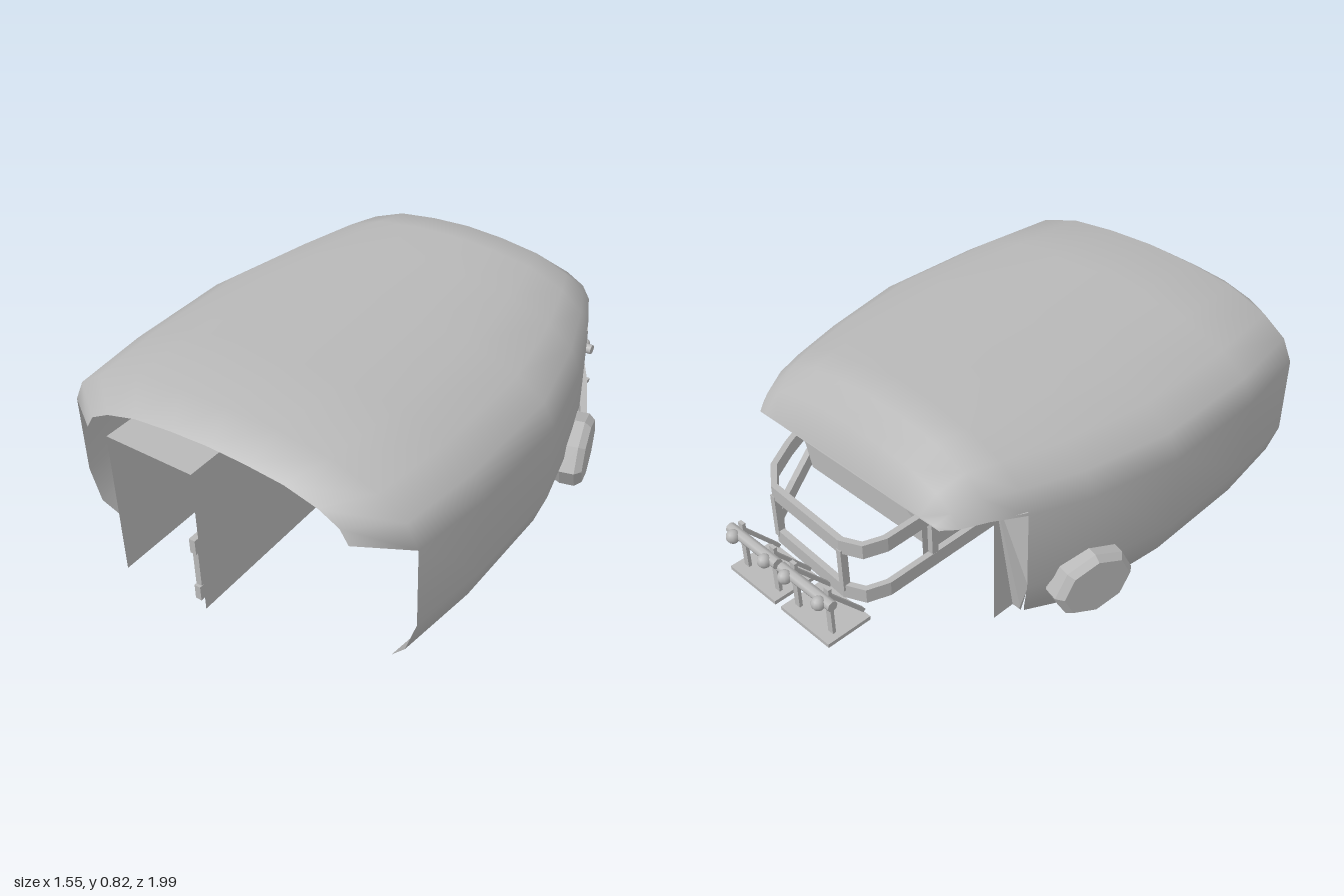
import * as THREE from 'three';

const gray = new THREE.MeshStandardMaterial({ color: 0xb8b8b8, side: THREE.DoubleSide });
gray.name = 'plain gray';

const add = (parent, name, geometry, x = 0, y = 0, z = 0) => {
  const mesh = new THREE.Mesh(geometry, gray);
  mesh.name = name;
  mesh.position.set(x, y, z);
  parent.add(mesh);
  return mesh;
};

const faceted = (geometry) => {
  const g = geometry.index ? geometry.toNonIndexed() : geometry;
  g.computeVertexNormals();
  return g;
};

const gridGeometry = (positions, index) => {
  const g = new THREE.BufferGeometry();
  g.setAttribute('position', new THREE.Float32BufferAttribute(positions, 3));
  g.setIndex(index);
  return g;
};

// Smooth outer shell: an arched section swept from front to back
function shellGeometry() {
  // width fraction, height of the half section, bottom to ridge
  const half = [[0.81, 0.005], [0.94, 0.14], [1, 0.27], [1, 0.57], [0.94, 0.66],
    [0.8, 0.73], [0.56, 0.79], [0.28, 0.815], [0, 0.825]];
  const section = [...half, ...half.slice(0, -1).reverse().map(([x, y]) => [-x, y])];
  // z, half width, eave height, ridge height
  const stations = [[0.985, 0.53, 0.6, 0.745], [0.87, 0.7, 0.58, 0.822], [0.55, 0.745, 0.57, 0.825],
    [0.1, 0.755, 0.57, 0.825], [-0.25, 0.68, 0.57, 0.825], [-0.48, 0.6, 0.585, 0.825],
    [-0.6, 0.545, 0.6, 0.815], [-0.695, 0.5, 0.6, 0.74], [-0.74, 0.46, 0.6, 0.605]];
  const rows = section.length, positions = [], index = [];
  stations.forEach(([z, w, eave, ridge], c) => section.forEach(([fx, py], r) => {
    const low = Math.min(r, rows - 1 - r);
    const y = low < 3 ? py : eave + (ridge - eave) * (py - 0.57) / 0.255;
    let zz = z;
    if (low === 0 && c === 1) zz = 0.81;
    if (c === 5 && low < 2) zz = low === 0 ? -0.37 : -0.455;
    positions.push(fx * w, y, zz);
  }));
  for (let c = 0; c < stations.length - 1; c++) {
    for (let r = 0; r < rows - 1; r++) {
      // the skirt is shorter than the roof at both ends
      const skirt = r < 3 || r >= rows - 4;
      if (skirt && (c < 1 || c > 4)) continue;
      const a = c * rows + r, b = a + rows;
      index.push(a, a + 1, b, b, a + 1, b + 1);
    }
  }
  const g = gridGeometry(positions, index);
  g.computeVertexNormals();
  return g;
}

// Flat rear panel whose bottom edge bends forward
function bulkheadGeometry(outline) {
  const g = new THREE.ShapeGeometry(new THREE.Shape(outline.map(([x, y]) => new THREE.Vector2(x, y))));
  const p = g.attributes.position;
  for (let i = 0; i < p.count; i++) p.setZ(i, p.getY(i) < 0.05 ? -0.38 : -0.475);
  return faceted(g);
}

// Bar of rectangular section following points in plan
function railGeometry(points, height, width) {
  const v = points.map((p) => new THREE.Vector3(...p)), positions = [], index = [];
  v.forEach((p, i) => {
    const d = v[Math.min(i + 1, v.length - 1)].clone().sub(v[Math.max(i - 1, 0)]).setY(0).normalize();
    for (const [s, t] of [[-1, -1], [1, -1], [1, 1], [-1, 1]]) {
      positions.push(p.x + d.z * s * width / 2, p.y + t * height / 2, p.z - d.x * s * width / 2);
    }
    if (i === 0) return;
    for (let k = 0; k < 4; k++) {
      const a = (i - 1) * 4 + k, b = (i - 1) * 4 + (k + 1) % 4;
      index.push(a, a + 4, b, b, a + 4, b + 4);
    }
  });
  const e = (v.length - 1) * 4;
  index.push(0, 1, 2, 0, 2, 3, e, e + 2, e + 1, e, e + 3, e + 2);
  return faceted(gridGeometry(positions, index));
}

export function createModel() {
  const model = new THREE.Group();
  model.name = 'cover';
  add(model, 'shell', shellGeometry());

  // Underside of the rear overhang
  const under = new THREE.Shape([[-0.46, 0.74], [0.46, 0.74], [0.6, 0.48], [-0.6, 0.48]]
    .map(([x, y]) => new THREE.Vector2(x, y)));
  add(model, 'overhangUnderside', new THREE.ShapeGeometry(under).rotateX(-Math.PI / 2), 0, 0.598, 0);

  // Rear panels either side of the tunnel
  add(model, 'leftBulkhead', bulkheadGeometry([[-0.075, 0.01], [0.48, 0.01], [0.56, 0.14], [0.6, 0.27],
    [0.6, 0.59], [-0.075, 0.59]]));
  add(model, 'rightBulkhead', bulkheadGeometry([[-0.48, 0.01], [-0.44, 0.01], [-0.44, 0.59], [-0.6, 0.59],
    [-0.6, 0.27], [-0.56, 0.14]]));

  // Open tunnel through the inside
  for (const [name, x] of [['tunnelLeftWall', -0.075], ['tunnelRightWall', -0.44]]) {
    add(model, name, new THREE.PlaneGeometry(1.465, 0.59).rotateY(Math.PI / 2), x, 0.305, 0.257);
  }
  add(model, 'tunnelCeiling', new THREE.PlaneGeometry(0.365, 1.465).rotateX(Math.PI / 2), -0.2575, 0.6, 0.257);

  // Eight-sided hubs on the flanks
  const profile = [[0, -0.02], [0.07, -0.02], [0.11, -0.075], [0.14, -0.075], [0.158, -0.04], [0.158, 0.015],
    [0.135, 0.04], [0, 0.04]].map(([r, h]) => new THREE.Vector2(r, h));
  for (const side of [1, -1]) {
    const holder = new THREE.Group();
    holder.name = side > 0 ? 'leftHub' : 'rightHub';
    holder.scale.x = side;
    const g = new THREE.LatheGeometry(profile, 8).scale(0.8, 1, 1).rotateZ(-Math.PI / 2).rotateY(0.26);
    add(holder, 'hub', faceted(g), 0.7, 0.225, -0.265);
    model.add(holder);
  }

  // Guard rails from the left hub around the back and into the tunnel
  const plan = [[0.67, -0.36], [0.635, -0.43], [0.57, -0.57], [0.5, -0.69], [0.4, -0.765], [0, -0.785],
    [-0.075, -0.75], [-0.105, -0.67], [-0.105, 0.99]];
  const lowHeights = [0.155, 0.135, 0.09, 0.075, 0.07];
  add(model, 'upperRail', railGeometry(plan.map(([x, z]) => [x, 0.28, z]), 0.06, 0.025));
  add(model, 'lowerRail', railGeometry(plan.map(([x, z], i) => [x, lowHeights[Math.min(i, 4)], z]), 0.06, 0.025));
  for (const [x, z] of [[0.4, -0.765], [0, -0.785], [-0.105, -0.45], [-0.105, 0.25], [-0.105, 0.965]]) {
    add(model, 'railPost', new THREE.BoxGeometry(0.024, 0.19, 0.03), x, 0.17, z);
  }

  // Two footrests behind the rails
  for (const cx of [-0.005, 0.295]) {
    const rest = new THREE.Group();
    rest.name = 'footrest';
    rest.position.x = cx;
    add(rest, 'footPlate', new THREE.BoxGeometry(0.265, 0.016, 0.19), 0, 0.026, -0.885);
    add(rest, 'crossBar', new THREE.CylinderGeometry(0.021, 0.021, 0.28, 8).rotateZ(Math.PI / 2), 0, 0.2, -0.95);
    for (const dx of [-0.092, 0.092]) {
      add(rest, 'upright', new THREE.BoxGeometry(0.026, 0.21, 0.014), dx, 0.135, -0.93);
      const brace = add(rest, 'brace', new THREE.BoxGeometry(0.02, 0.22, 0.014), dx, 0.125, -0.86);
      brace.rotation.x = -0.69;
      add(rest, 'knob', new THREE.SphereGeometry(0.027, 10, 8), dx, 0.2, -0.973);
    }
    model.add(rest);
  }
  return model;
}
